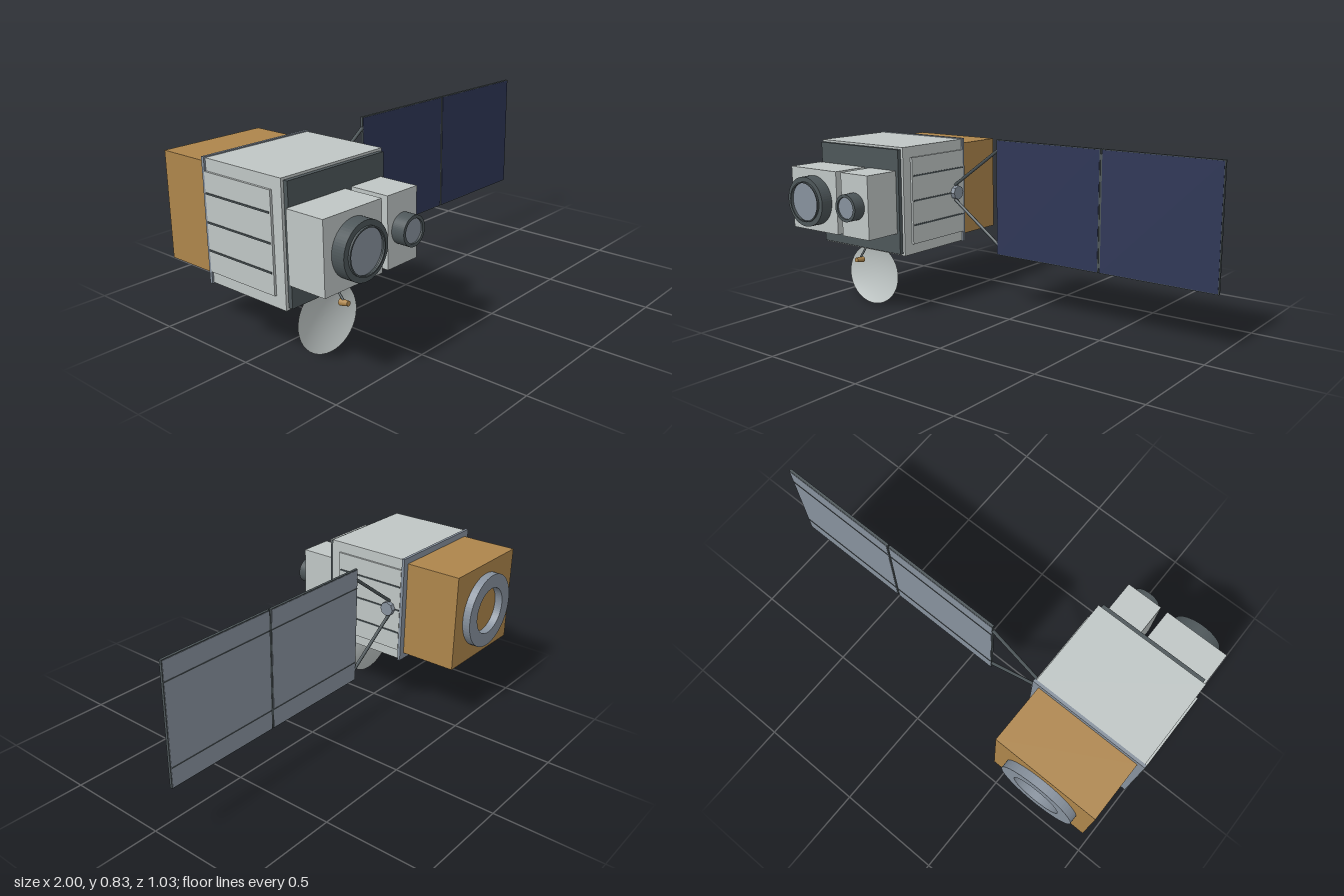
import * as THREE from 'three';

const CX = -0.713, CY = 0.56; // axis of the main body

export function createModel() {
  const root = new THREE.Group();
  root.name = 'satellite';
  const mat = (name, color, side = THREE.FrontSide) => {
    const m = new THREE.MeshStandardMaterial({ color, side });
    m.name = name;
    return m;
  };
  const white = mat('light grey', 0xbfc6c5);
  const dishMat = mat('dish grey', 0xbfc6c5, THREE.DoubleSide);
  const slate = mat('dark slate', 0x4d5659);
  const steel = mat('blue grey', 0x87919d);
  const gold = mat('gold foil', 0xad854b);
  const navy = mat('navy cells', 0x2e3656);

  const add = (name, geo, material, x = 0, y = 0, z = 0) => {
    const m = new THREE.Mesh(geo, material);
    m.name = name;
    m.position.set(x, y, z);
    root.add(m);
    return m;
  };
  // box from minimum and maximum corners
  const box = (name, material, x0, x1, y0, y1, z0, z1) =>
    add(name, new THREE.BoxGeometry(x1 - x0, y1 - y0, z1 - z0), material,
      (x0 + x1) / 2, (y0 + y1) / 2, (z0 + z1) / 2);
  // round rod between two points
  const rod = (name, material, a, b, r0, r1 = r0, sides = 8) => {
    const p = new THREE.Vector3(...a), q = new THREE.Vector3(...b);
    const d = q.clone().sub(p);
    const m = add(name, new THREE.CylinderGeometry(r1, r0, d.length(), sides), material);
    m.position.copy(p).add(q).multiplyScalar(0.5);
    m.quaternion.setFromUnitVectors(new THREE.Vector3(0, 1, 0), d.normalize());
    return m;
  };
  // ring around the z axis
  const ring = (name, material, x, y, z0, z1, outer, inner) => {
    const s = new THREE.Shape().absarc(0, 0, outer, 0, Math.PI * 2);
    s.holes.push(new THREE.Path().absarc(0, 0, inner, 0, Math.PI * 2, true));
    return add(name, new THREE.ExtrudeGeometry(s, { depth: z1 - z0, bevelEnabled: false, curveSegments: 32 }),
      material, x, y, z0);
  };

  // main body
  box('bodyBox', white, CX - 0.273, CX + 0.273, 0.3, 0.82, -0.185, 0.24);
  box('frontPlate', slate, CX - 0.26, CX + 0.26, 0.31, 0.81, 0.24, 0.26);
  box('rearFlange', steel, CX - 0.281, CX + 0.281, 0.296, 0.825, -0.197, -0.183);
  box('rearFoilBox', gold, CX - 0.25, CX + 0.25, 0.326, 0.795, -0.475, -0.197);
  ring('rearAdapterRing', steel, CX, CY, -0.513, -0.475, 0.183, 0.115);

  // side radiators with fins
  for (const s of [-1, 1]) {
    const plate = (name, material, reach, y0, y1, z0, z1) => {
      const xs = [CX + s * 0.272, CX + s * reach].sort((a, b) => a - b);
      box(name, material, xs[0], xs[1], y0, y1, z0, z1);
    };
    plate('radiatorPanel', white, 0.283, 0.35, 0.768, -0.183, 0.19);
    for (const y of [0.442, 0.56, 0.68])
      plate('radiatorFin', slate, 0.2865, y - 0.0035, y + 0.0035, -0.18, 0.182);
  }

  // instrument housings and lenses
  for (const [x0, x1, lx, r] of [[-0.985, -0.675, -0.828, 0.119], [-0.642, -0.469, -0.556, 0.064]]) {
    box('instrumentHousing', white, x0, x1, 0.41, 0.71, 0.26, 0.445);
    ring('lensBarrel', slate, lx, CY, 0.445, 0.505, r, r * 0.79);
    const glass = add('lensGlass', new THREE.CylinderGeometry(r * 0.8, r * 0.8, 0.05, 32), steel, lx, CY, 0.472);
    glass.rotation.x = Math.PI / 2;
    if (r > 0.1) ring('lensRim', slate, lx, CY, 0.505, 0.514, r * 0.81, r * 0.76);
  }

  // solar array: hub, struts and two panels
  const PZ = -0.122;
  const hub = add('arrayHub', new THREE.CylinderGeometry(0.035, 0.035, 0.03, 8).toNonIndexed(), steel, -0.422, CY, PZ);
  hub.geometry.computeVertexNormals();
  hub.rotation.z = Math.PI / 2;
  for (const s of [-1, 1])
    rod('arrayStrut', slate, [-0.43, CY + s * 0.037, PZ], [-0.16, CY + s * 0.232, PZ], 0.008);
  for (const [x0, x1] of [[-0.163, 0.413], [0.42, 0.998]]) {
    box('panelFrame', slate, x0, x1, 0.278, 0.843, PZ - 0.006, PZ + 0.006);
    box('panelCells', navy, x0 + 0.004, x1 - 0.004, 0.282, 0.839, PZ + 0.005, PZ + 0.0075);
    box('panelBack', steel, x0 + 0.004, x1 - 0.004, 0.282, 0.839, PZ - 0.0075, PZ - 0.005);
    for (const y of [0.372, 0.75])
      box('panelBackRib', slate, x0 + 0.004, x1 - 0.004, y - 0.002, y + 0.002, PZ - 0.01, PZ - 0.006);
  }
  box('panelHinge', slate, 0.412, 0.421, 0.3, 0.82, PZ - 0.004, PZ + 0.003);

  // dish antenna, slightly oval and tilted
  const profile = [];
  for (let i = 0; i <= 10; i++) profile.push(new THREE.Vector2(i / 10, (i / 10) ** 2));
  const dish = add('dishReflector', new THREE.LatheGeometry(profile, 40), dishMat, CX, 0.154, 0.157);
  dish.scale.set(0.167, 0.027, 0.149);
  dish.rotation.x = Math.PI / 2 - 0.1;
  rod('dishStrut', slate, [CX, 0.305, 0.005], [CX, 0.15, 0.152], 0.005);
  rod('feedStrut', slate, [CX, 0.305, 0.23], [CX, 0.253, 0.277], 0.005);
  rod('feedHorn', gold, [CX, 0.252, 0.3], [CX, 0.247, 0.257], 0.011, 0.015, 16);

  return root;
}
